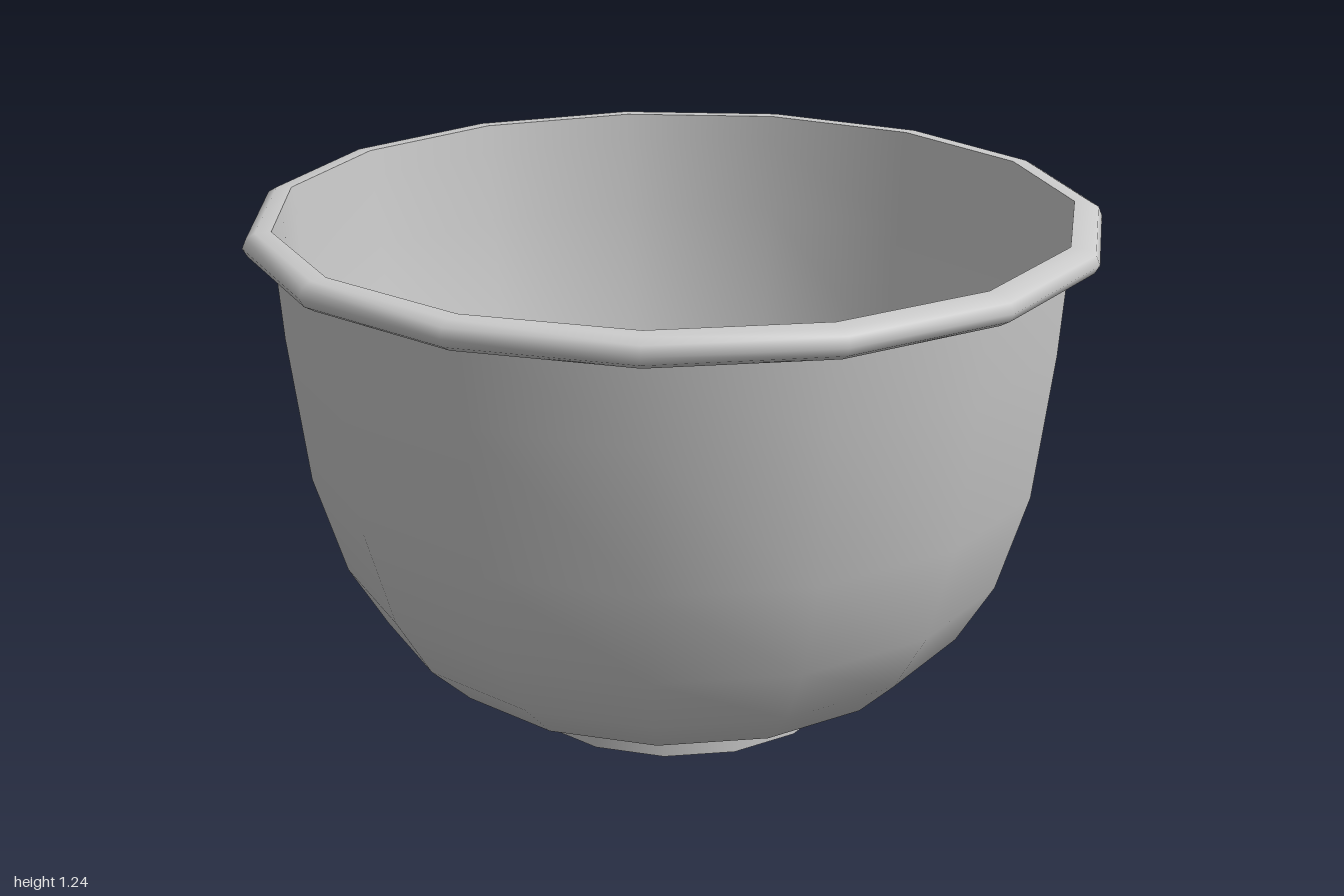
import * as THREE from 'three';

const SIDES = 15;

export function createModel() {
  const bowl = new THREE.Group();
  bowl.name = 'bowl';
  const material = new THREE.MeshStandardMaterial({ color: 0xcccccc });

  // Turns an [radius, height] profile, with one corner on +x
  const turn = (name, profile) => {
    const points = profile.map(([r, y]) => new THREE.Vector2(r, y));
    const mesh = new THREE.Mesh(new THREE.LatheGeometry(points, SIDES, Math.PI / 2), material);
    mesh.name = name;
    mesh.position.x = -0.011; // odd side count: centre the bounds
    bowl.add(mesh);
  };

  // Wall curve from the foot up to the rim
  const wall = [[0.407, 0.065], [0.615, 0.14], [0.718, 0.24], [0.807, 0.39],
    [0.88, 0.63], [0.922, 0.98], [0.935, 1.168]];
  turn('outerWall', wall);

  // Inside surface: the same curve slightly inset, run down to a small centre
  const inner = wall.slice(0, -1).reverse().map(([r, y]) => [r - 0.006, y + 0.006]);
  turn('innerWall', [[0.938, 1.235], [0.932, 1.168], ...inner, [0.22, 0.045], [0.036, 0.04]]);
  turn('innerCentre', [[0.036, 0.04], [0, 0.04]]);

  // Rolled rim
  turn('rim', [[0.932, 1.166], [0.97, 1.166], [0.994, 1.18], [1.0055, 1.2],
    [0.996, 1.222], [0.975, 1.234], [0.938, 1.235]]);

  // Foot ring and its flat base
  turn('foot', [[0.407, 0], [0.407, 0.068]]);
  turn('footBase', [[0, 0], [0.407, 0]]);

  return bowl;
}
